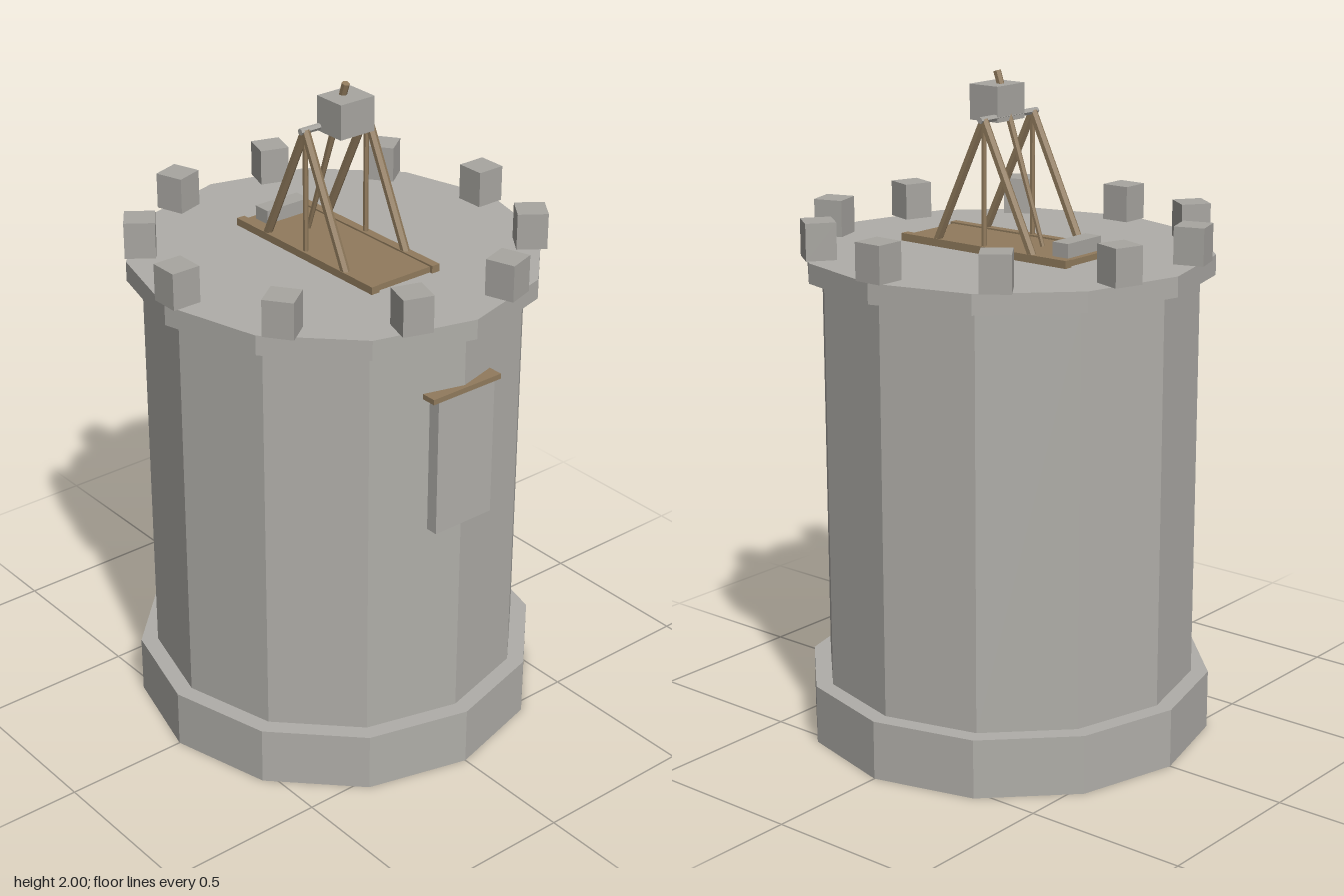
import * as THREE from 'three';

const flat = (name, color) => {
  const m = new THREE.MeshStandardMaterial({ color });
  m.name = name;
  return m;
};

export function createModel() {
  const tower = new THREE.Group();
  tower.name = 'tower';
  const stone = flat('stone', 0xb0aea9);
  const cutStone = flat('cut stone', 0xa8a6a1);
  const wood = flat('wood', 0x917b5d);

  const add = (parent, name, geometry, material, x = 0, y = 0, z = 0) => {
    const mesh = new THREE.Mesh(geometry, material);
    mesh.name = name;
    mesh.position.set(x, y, z);
    parent.add(mesh);
    return mesh;
  };
  const box = (parent, name, material, w, h, d, x, y, z) =>
    add(parent, name, new THREE.BoxGeometry(w, h, d), material, x, y, z);
  // Faceted drum between two heights
  const drum = (name, r, y0, y1) => add(tower, name,
    new THREE.CylinderGeometry(r, r, y1 - y0, 12).toNonIndexed(), stone, 0, (y0 + y1) / 2, 0)
    .geometry.computeVertexNormals();
  // Faceted rod between two points
  const rod = (parent, name, material, a, b, rA, rB = rA) => {
    const start = new THREE.Vector3(...a), end = new THREE.Vector3(...b);
    const dir = end.clone().sub(start);
    const geometry = new THREE.CylinderGeometry(rB, rA, dir.length(), 6).toNonIndexed();
    geometry.computeVertexNormals();
    const mesh = add(parent, name, geometry, material);
    mesh.position.copy(start).add(end).multiplyScalar(0.5);
    mesh.quaternion.setFromUnitVectors(new THREE.Vector3(0, 1, 0), dir.normalize());
  };

  // Masonry
  drum('base', 0.617, 0, 0.18);
  drum('wall', 0.565, 0.18, 1.42);
  drum('parapetRing', 0.61, 1.42, 1.48);

  // Battlements
  for (let i = 0; i < 10; i++) {
    const a = i * Math.PI / 5;
    box(tower, 'merlon', cutStone, 0.09, 0.11, 0.09,
      Math.cos(a) * 0.565, 1.535, Math.sin(a) * 0.565).rotation.y = -a;
  }

  // Door panel and lintel
  box(tower, 'doorPanel', stone, 0.208, 0.43, 0.055, 0, 1.035, 0.5475);
  box(tower, 'doorLintel', wood, 0.25, 0.016, 0.06, 0, 1.252, 0.548);

  // Siege engine on the roof
  const engine = new THREE.Group();
  engine.name = 'siegeEngine';
  tower.add(engine);
  box(engine, 'deck', wood, 0.21, 0.018, 0.6, 0, 1.489, 0);
  for (const s of [-1, 1]) {
    box(engine, 'rail', wood, 0.027, 0.023, 0.62, s * 0.1115, 1.4915, 0);
    for (const z of [-0.18, 0.18])
      rod(engine, 'leg', wood, [s * 0.1115, 1.495, z], [s * 0.1115, 1.87, 0], 0.0135);
    rod(engine, 'post', wood, [s * 0.1115, 1.495, 0], [s * 0.1115, 1.87, 0], 0.008);
  }
  rod(engine, 'axle', cutStone, [-0.13, 1.87, 0], [0.13, 1.87, 0], 0.01);
  rod(engine, 'throwingArm', wood, [0, 1.5, -0.128], [0, 1.996, 0.043], 0.007, 0.012);
  box(engine, 'counterweight', cutStone, 0.122, 0.104, 0.105, 0, 1.908, 0.043);
  box(engine, 'ammunitionTrough', cutStone, 0.154, 0.042, 0.056, 0, 1.519, -0.253);

  return tower;
}
